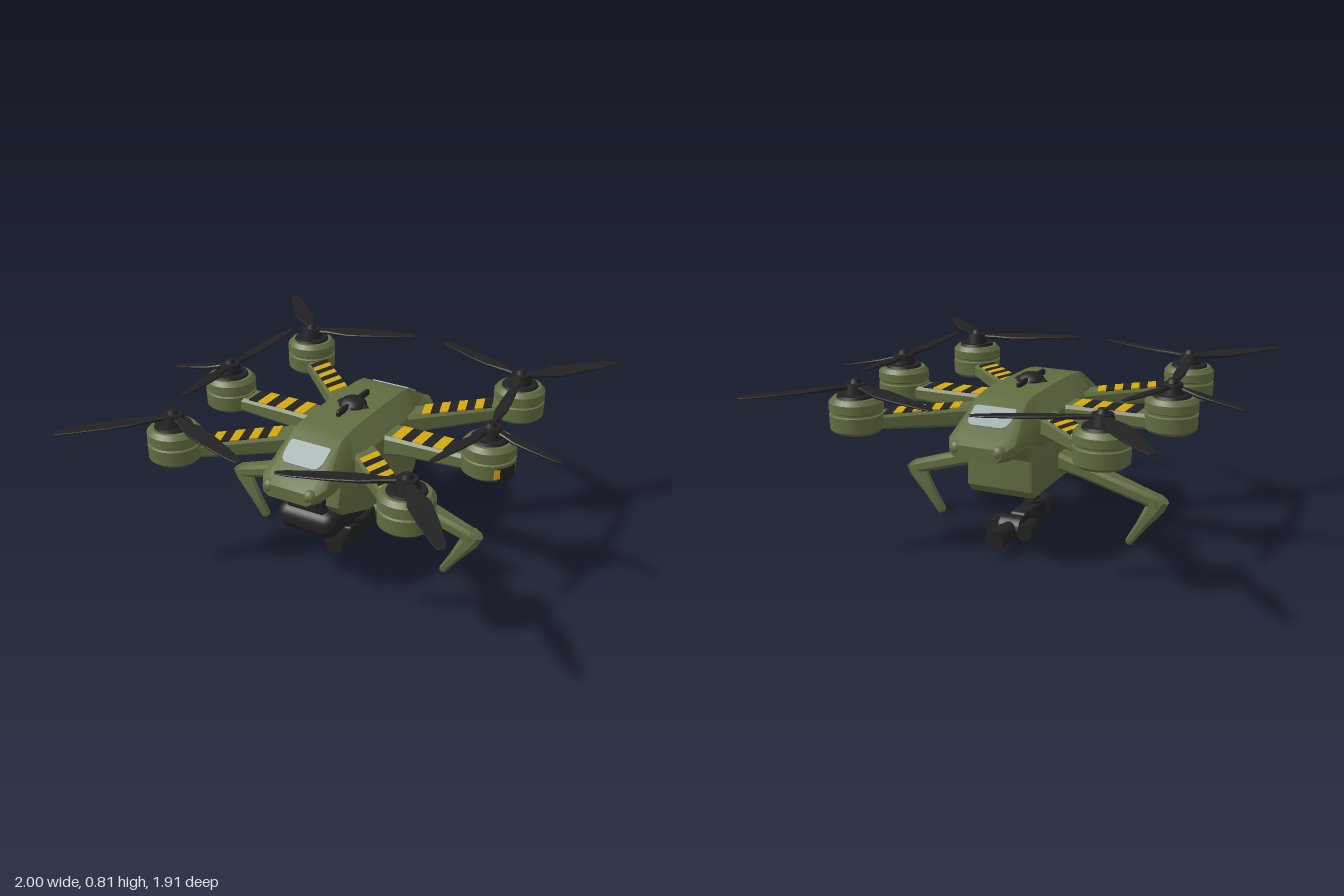
import * as THREE from 'three';
import { toCreasedNormals } from 'three/addons/utils/BufferGeometryUtils.js';
import { RoundedBoxGeometry } from 'three/addons/geometries/RoundedBoxGeometry.js';

const mat = (name, color) => {
  const m = new THREE.MeshStandardMaterial({ color });
  m.name = name;
  return m;
};

export function createModel() {
  const root = new THREE.Group();
  root.name = 'drone';
  const olive = mat('olive green', 0x626d41);
  const black = mat('matte black', 0x222223);
  const yellow = mat('hazard yellow', 0xd2a912);
  const glass = mat('grey glass', 0x9dabab);

  const add = (name, geo, material, x = 0, y = 0, z = 0, parent = root) => {
    const m = new THREE.Mesh(geo, material);
    m.name = name;
    m.position.set(x, y, z);
    parent.add(m);
    return m;
  };
  const cyl = (r1, r2, h, n = 20) => new THREE.CylinderGeometry(r1, r2, h, n);
  const rbox = (w, h, d, r) => new RoundedBoxGeometry(w, h, d, 3, r);

  // Skin over rings of [x, y] points, placed at rising z
  const loft = (sections) => {
    const n = sections[0].pts.length;
    const pos = [], idx = [];
    sections.forEach(({ z, pts }) => pts.forEach(([x, y]) => pos.push(x, y, z)));
    for (let i = 0; i < sections.length - 1; i++)
      for (let j = 0; j < n; j++) {
        const a = i * n + j, b = i * n + (j + 1) % n;
        idx.push(a, b, a + n, b, b + n, a + n);
      }
    const last = (sections.length - 1) * n;
    for (let j = 1; j < n - 1; j++) idx.push(0, j + 1, j, last, last + j, last + j + 1);
    const g = new THREE.BufferGeometry();
    g.setAttribute('position', new THREE.Float32BufferAttribute(pos, 3));
    g.setIndex(idx);
    return toCreasedNormals(g, 0.7);
  };
  // Chamfered rectangle, optionally pitched about its centre
  const ring = (w, h, c, pitch = 0, cy = 0) => {
    const a = w / 2, b = h / 2, s = Math.sin(pitch), k = Math.cos(pitch);
    return [[a, -b + c], [a, b - c], [a - c, b], [-a + c, b], [-a, b - c], [-a, -b + c], [-a + c, -b], [a - c, -b]]
      .map(([x, y]) => [x * k - y * s, x * s + y * k + cy]);
  };
  // Group at one point whose +z aims at another
  const aim = (name, from, to) => {
    const g = new THREE.Group();
    g.name = name;
    g.position.set(...from);
    g.lookAt(...to);
    root.add(g);
    return g;
  };
  const dist = (a, b) => Math.hypot(a[0] - b[0], a[1] - b[1], a[2] - b[2]);

  // Upper hull: half sections as [z, top half-width, half-width, top, shoulder, low, bottom]
  const half = [
    [0, 0.12, 0.2, 0.73, 0.645, 0.55, 0.5], [0.23, 0.12, 0.2, 0.725, 0.64, 0.55, 0.5],
    [0.31, 0.12, 0.172, 0.712, 0.635, 0.55, 0.5], [0.5, 0.115, 0.157, 0.603, 0.575, 0.535, 0.505],
    [0.56, 0.09, 0.12, 0.568, 0.553, 0.53, 0.51],
  ];
  const hull = [...half.slice(1).reverse().map(([z, ...r]) => [-z, ...r]), ...half];
  add('upperHull', loft(hull.map(([z, wt, w, top, mid, low, bot]) => ({
    z, pts: [[w, low], [w, mid], [wt, top], [-wt, top], [-w, mid], [-w, low], [-w * 0.8, bot], [w * 0.8, bot]],
  }))), olive);

  // Lower hull: side profile extruded across x
  const prof = new THREE.Shape([[0.37, 0.53], [0.39, 0.44], [0.35, 0.39], [0.12, 0.3], [-0.3, 0.29],
    [-0.325, 0.32], [-0.32, 0.46], [-0.37, 0.53]].map(([z, y]) => new THREE.Vector2(-z, y)));
  const lower = new THREE.ExtrudeGeometry(prof, { depth: 0.29, bevelSize: 0.012, bevelThickness: 0.015, bevelSegments: 2 });
  lower.translate(0, 0, -0.145).rotateY(Math.PI / 2);
  add('lowerHull', toCreasedNormals(lower, 0.6), olive);

  // Front sensor bay and belly equipment
  add('sensorPod', rbox(0.3, 0.125, 0.34, 0.055), black, 0, 0.335, 0.27);
  add('sensorBox', rbox(0.19, 0.13, 0.08, 0.015), black, 0, 0.455, 0.385);
  add('sensorVisor', rbox(0.15, 0.075, 0.02, 0.008), black, 0, 0.465, 0.428);
  add('bellyPlate', rbox(0.26, 0.04, 0.42, 0.012), black, 0, 0.28, 0.06);
  for (const s of [-1, 1]) {
    add('bellyBlock', rbox(0.05, 0.04, 0.16, 0.01), black, s * 0.08, 0.262, 0.02);
    add('noseLampFront', new THREE.SphereGeometry(0.032, 16, 10), olive, s * 0.1, 0.55, 0.535);
    add('noseLampRear', new THREE.SphereGeometry(0.032, 16, 10), olive, s * 0.1, 0.55, -0.535);
  }

  // Sloping windows, front and rear
  const pane = new THREE.Shape();
  pane.moveTo(-0.07, -0.06);
  pane.lineTo(0.07, -0.06);
  pane.quadraticCurveTo(0.1, -0.05, 0.1, 0);
  pane.lineTo(0.1, 0.045);
  pane.quadraticCurveTo(0.1, 0.06, 0.085, 0.06);
  pane.lineTo(-0.085, 0.06);
  pane.quadraticCurveTo(-0.1, 0.06, -0.1, 0.045);
  pane.lineTo(-0.1, 0);
  pane.quadraticCurveTo(-0.1, -0.05, -0.07, -0.06);
  const slope = Math.atan2(0.712 - 0.603, 0.19);
  const paneGeo = new THREE.ExtrudeGeometry(pane, { depth: 0.006, bevelEnabled: false, curveSegments: 6 });
  paneGeo.rotateX(slope - Math.PI / 2).translate(0, 0.658, 0.406);
  add('frontWindow', paneGeo, glass);
  add('rearWindow', paneGeo, glass).rotation.y = Math.PI;

  // Roof antenna: low faceted dome, cross plate and fin
  add('roofDome', toCreasedNormals(new THREE.SphereGeometry(0.065, 16, 6, 0, Math.PI * 2, 0, Math.PI / 2).scale(1, 0.65, 1), 0.5), black, 0, 0.727, 0);
  add('roofPlate', cyl(0.065, 0.088, 0.018, 4), black, 0, 0.736, 0);
  add('roofFin', rbox(0.022, 0.03, 0.28, 0.009), black, 0, 0.738, 0);

  // Motor housing with a seam groove
  const motorGeo = toCreasedNormals(new THREE.LatheGeometry([[0, 0.575], [0.1, 0.575], [0.117, 0.59], [0.119, 0.655],
    [0.111, 0.66], [0.111, 0.668], [0.119, 0.673], [0.118, 0.71], [0.1, 0.73], [0, 0.73]]
    .map(([x, y]) => new THREE.Vector2(x, y)), 32), 0.6);

  const blade = (from, to, width, pitch) => {
    const L = dist(from, to);
    const g = aim('propellerBlade', from, to);
    add('blade', loft([[0.02, 0.4, 0.022], [0.16, 0.5, 0.018], [0.36, 1, 0.012], [0.6, 0.9, 0.009], [0.92, 0.55, 0.006], [1, 0.28, 0.004]]
      .map(([t, w, h]) => ({ z: t * L, pts: ring(w * width, h, h * 0.3, pitch * (1 - t)) }))), black, 0, 0, 0, g);
  };

  // Arm, hazard stripes, motor and hub
  const rotor = (sx, sz) => {
    const side = sz === 0;
    const mx = sx * (side ? 0.67 : 0.57), mz = sz * 0.57;
    const start = side ? [sx * 0.14, 0, 0] : [sx * 0.13, 0, sz * 0.17];
    const end = [mx, 0, mz], L = dist(start, end);
    const w = side ? 0.135 : 0.11;
    const arm = aim('arm', start, end);
    add('armBeam', loft([[0, 1.15, 0.11], [0.25, 1.05, 0.085], [0.95, 0.95, 0.065]]
      .map(([t, k, h]) => ({ z: t * L, pts: ring(w * k, h, 0.014, 0, 0.65 - h / 2) }))), olive, 0, 0, 0, arm);
    const count = side ? 6 : 8, step = side ? 0.05 : 0.042, z0 = side ? 0.09 : 0.13;
    const a = w * 0.43, skew = -0.45 * sx * sz * a;
    for (let i = 0; i < count; i++) {
      const z = -(z0 + i * step);
      const stripe = new THREE.Shape([[-a, z + skew], [-a, z + skew - step], [a, z - skew - step], [a, z - skew]]
        .map(([x, y]) => new THREE.Vector2(x, y)));
      const geo = new THREE.ExtrudeGeometry(stripe, { depth: 0.005, bevelEnabled: false }).rotateX(-Math.PI / 2);
      add('hazardStripe', geo, i % 2 ? black : yellow, 0, 0.649, 0, arm);
    }
    add('motorHousing', motorGeo, olive, mx, 0, mz);
    add('motorTop', cyl(0.08, 0.085, 0.012, 28), black, mx, 0.735, mz);
    add('motorVent', cyl(0.07, 0.07, 0.012, 24), black, mx, 0.572, mz);
    add('rotorHub', cyl(0.045, 0.055, 0.05, 12), black, mx, 0.763, mz);
    add('hubCap', cyl(0.018, 0.028, 0.024, 12), black, mx, 0.795, mz);
    const hub = [mx, 0.772, mz];
    if (side) {
      // Tilted three-bladed rotor
      for (const s of [-1, 1]) blade(hub, [sx * 0.61, 0.812, s * 0.45], 0.056, 0.15 * sx * s);
      blade(hub, [sx, 0.7, 0], 0.06, 0);
      // Curved panel on the outer face of the housing
      const mid = sx * 1.15;
      add('motorPanel', new THREE.CylinderGeometry(0.122, 0.122, 0.065, 12, 1, true, mid - 0.42, 0.84), black, mx, 0.613, mz);
      if (sx > 0) add('motorPanelMark', new THREE.CylinderGeometry(0.125, 0.125, 0.045, 6, 1, true, 0.6, 0.22), yellow, mx, 0.62, mz);
    } else {
      blade(hub, [sx * 0.905, 0.772, sz * 0.945], 0.095, 0.18);
      blade(hub, [sx * 0.085, 0.772, sz * 0.77], 0.085, 0.18);
    }
  };
  for (const sx of [-1, 1]) for (const sz of [-1, 0, 1]) rotor(sx, sz);

  // Bent landing legs
  for (const s of [-1, 1]) {
    const hip = [s * 0.12, 0.385, 0.005], knee = [s * 0.625, 0.228, 0.01], foot = [s * 0.488, 0.02, 0.015];
    const L1 = dist(hip, knee), L2 = dist(knee, foot);
    const thigh = aim('upperLeg', hip, knee);
    add('upperLegBeam', loft([[0, 0.13, 0.085], [0.3, 0.1, 0.068], [1, 0.07, 0.062], [1.05, 0.05, 0.045]]
      .map(([t, w, h]) => ({ z: t * L1, pts: ring(w, h, 0.016) }))), olive, 0, 0, 0, thigh);
    const shin = aim('lowerLeg', knee, foot);
    add('lowerLegBeam', loft([[-0.1, 0.06, 0.07], [0.1, 0.066, 0.085], [0.6, 0.052, 0.05], [1, 0.045, 0.036], [1.05, 0.03, 0.024]]
      .map(([t, w, h]) => ({ z: t * L2, pts: ring(w, h, h * 0.26) }))), olive, 0, 0, 0, shin);
    add('kneePin', cyl(0.016, 0.016, 0.084, 14).rotateX(Math.PI / 2), olive, s * 0.605, 0.222, 0.01);
  }

  // Gimbal stem
  add('gimbalStem', cyl(0.016, 0.016, 0.16, 12), black, 0, 0.2, 0.02);
  for (const [y, r] of [[0.25, 0.06], [0.212, 0.038], [0.165, 0.032], [0.14, 0.04]])
    add('gimbalDisc', cyl(r, r, 0.014, 18), black, 0, y, 0.02);
  add('gimbalRail', rbox(0.04, 0.014, 0.2, 0.005), black, 0, 0.212, 0);

  // Slung camera barrel with side pods
  const tube = (name, r, z1, z2, x = 0) =>
    add(name, cyl(r, r, z2 - z1, 20).rotateX(Math.PI / 2), black, x, 0.085, (z1 + z2) / 2);
  tube('cameraBarrel', 0.04, -0.36, 0.16);
  tube('cameraLens', 0.047, 0.1, 0.18);
  tube('cameraTail', 0.045, -0.39, -0.28);
  add('cameraBody', rbox(0.085, 0.1, 0.24, 0.015), black, 0, 0.087, -0.03);
  add('cameraCollar', cyl(0.055, 0.055, 0.1, 20).rotateZ(Math.PI / 2), black, 0, 0.085, -0.2);
  add('cameraCrossbar', cyl(0.02, 0.02, 0.17, 12).rotateZ(Math.PI / 2), black, 0, 0.085, -0.2);
  for (const s of [-1, 1]) tube('cameraSidePod', 0.038, -0.25, -0.15, s * 0.078);

  return root;
}
